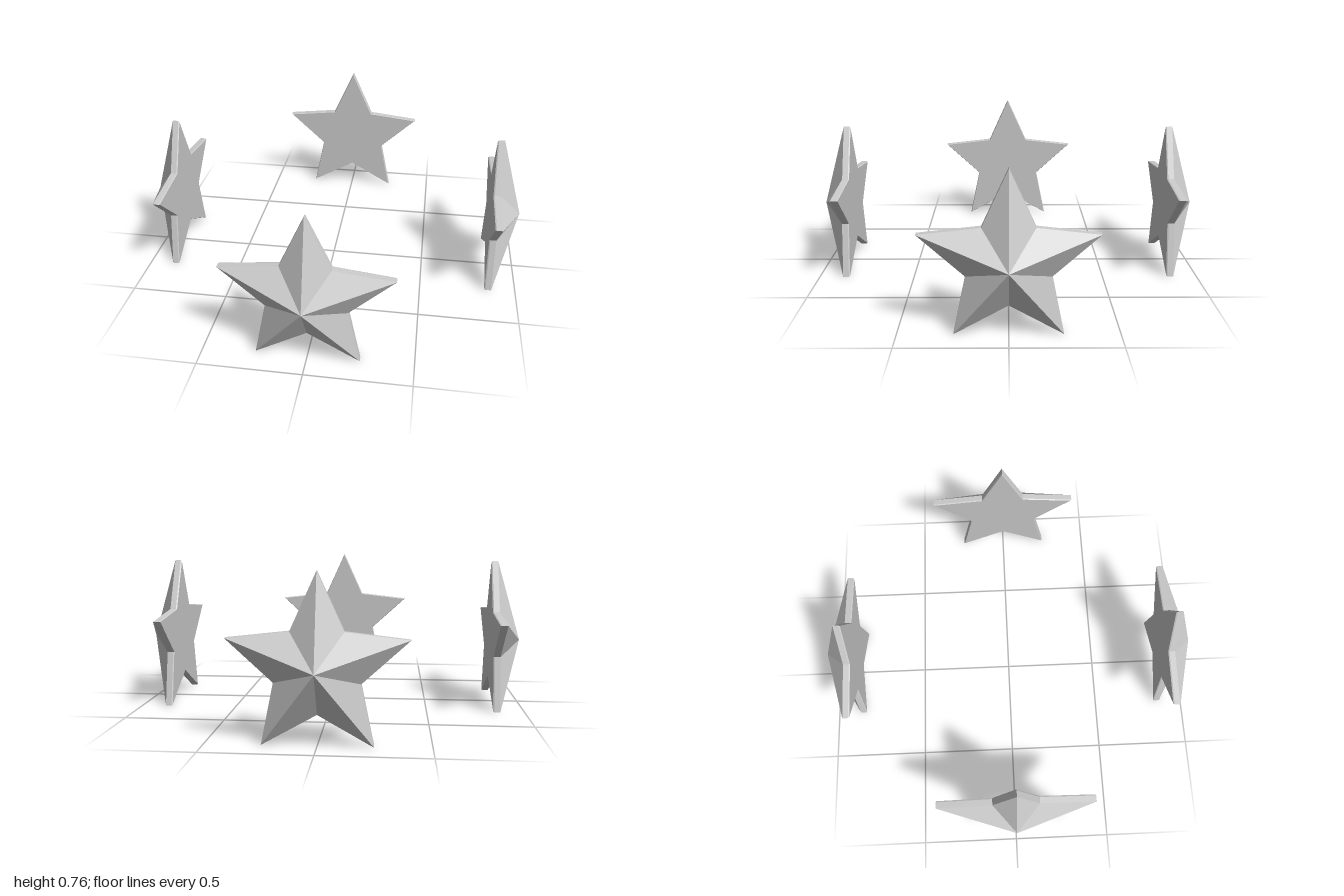
import * as THREE from 'three';

const CENTER_Y = 0.34, OUTER = 0.42, INNER = 0.2;

// Cross-sections from the flat back to the pointed front: [z, scale of star outline]
const SECTIONS = [[0.84, 0], [0.84, 0.985], [0.846, 1], [0.876, 1], [1, 0]];

// Faceted five-pointed star, pointing outwards along +z
function starGeometry() {
  const point = ([z, s], i) => {
    const a = Math.PI / 2 + (i * Math.PI) / 5;
    const r = s * (i % 2 ? INNER : OUTER);
    return [r * Math.cos(a), r * Math.sin(a), z];
  };
  const positions = [];
  for (let k = 0; k < SECTIONS.length - 1; k++) {
    const lower = SECTIONS[k], upper = SECTIONS[k + 1];
    for (let i = 0; i < 10; i++) {
      const a = point(lower, i), b = point(lower, i + 1);
      const c = point(upper, i + 1), d = point(upper, i);
      if (lower[1] > 0) positions.push(...a, ...b, ...(upper[1] > 0 ? c : d));
      if (upper[1] > 0) positions.push(...a, ...c, ...d);
    }
  }
  const geometry = new THREE.BufferGeometry();
  geometry.setAttribute('position', new THREE.Float32BufferAttribute(positions, 3));
  geometry.computeVertexNormals();
  return geometry;
}

export function createModel() {
  const model = new THREE.Group();
  model.name = 'starRing';
  const geometry = starGeometry();
  const material = new THREE.MeshStandardMaterial({ color: 0xcccccc, flatShading: true });

  // Four identical stars facing outwards
  ['frontStar', 'leftStar', 'backStar', 'rightStar'].forEach((name, i) => {
    const star = new THREE.Mesh(geometry, material);
    star.name = name;
    star.position.y = CENTER_Y;
    star.rotation.y = (i * Math.PI) / 2;
    model.add(star);
  });
  return model;
}
